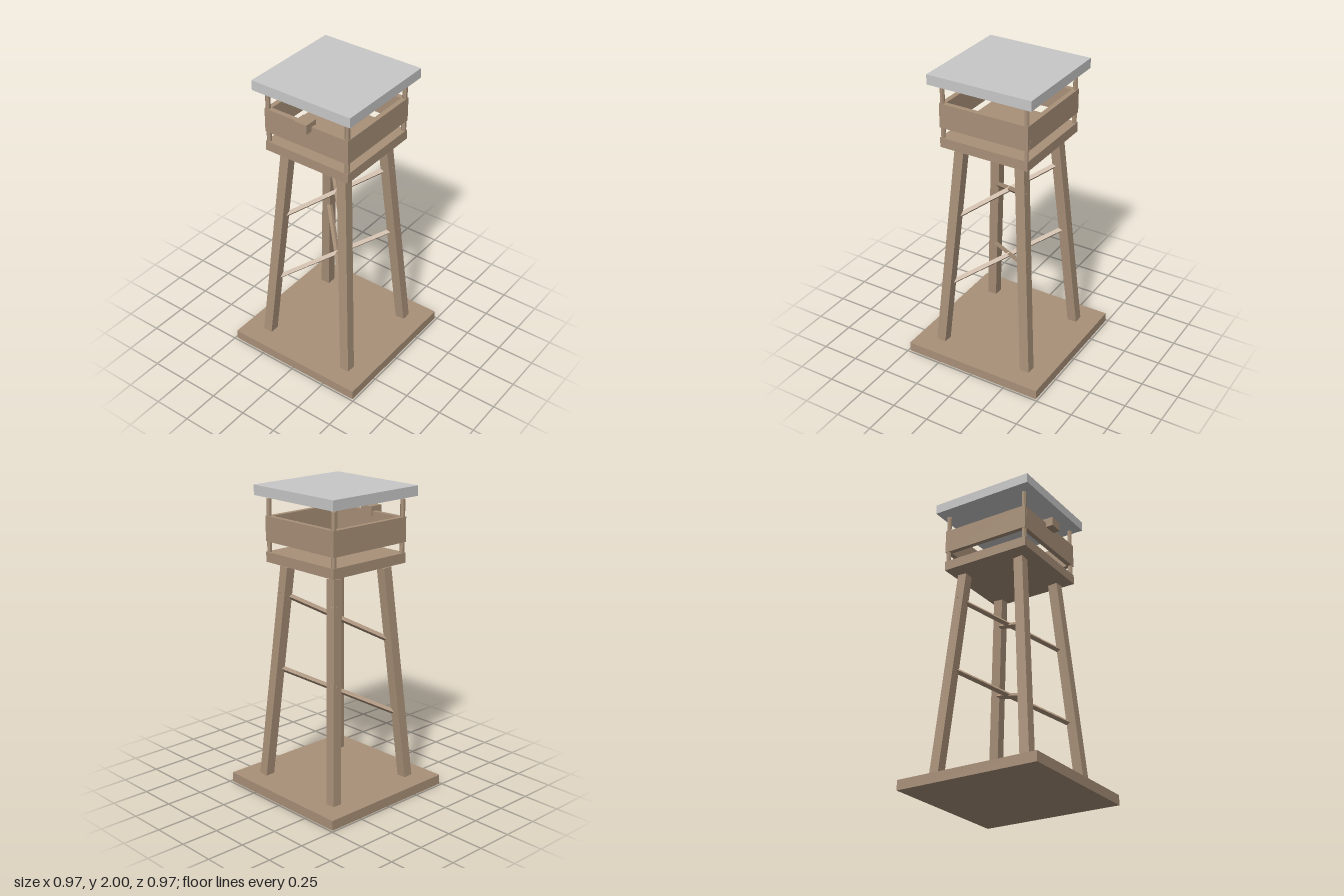
import * as THREE from 'three';

export function createModel() {
  const model = new THREE.Group();
  model.name = 'watchtower';
  const wood = new THREE.MeshStandardMaterial({ color: 0xa89078 });
  wood.name = 'wood';
  const roofGrey = new THREE.MeshStandardMaterial({ color: 0xc8c8c8 });
  roofGrey.name = 'roof grey';

  const add = (name, geometry, material, x, y, z) => {
    const mesh = new THREE.Mesh(geometry, material);
    mesh.name = name;
    mesh.position.set(x, y, z);
    model.add(mesh);
    return mesh;
  };
  const box = (name, w, h, d, x, y, z, material = wood) =>
    add(name, new THREE.BoxGeometry(w, h, d), material, x, y, z);

  // Square beam running from a to b
  const up = new THREE.Vector3(0, 1, 0);
  const beam = (name, size, a, b) => {
    const mid = a.clone().add(b).multiplyScalar(0.5);
    const mesh = box(name, size, a.distanceTo(b), size, mid.x, mid.y, mid.z);
    mesh.quaternion.setFromUnitVectors(up, b.clone().sub(a).normalize());
  };

  // Base slab, platform floor and flat roof
  box('base', 0.973, 0.065, 0.973, 0, 0.0325, 0);
  box('platformFloor', 0.616, 0.065, 0.616, 0, 1.545, 0);
  box('roof', 0.714, 0.065, 0.714, 0, 1.9675, 0, roofGrey);

  // Leaning legs and six-sided roof posts at the four corners
  const post = new THREE.CylinderGeometry(0.0162, 0.0162, 0.37, 6).toNonIndexed();
  post.computeVertexNormals();
  for (const sx of [-1, 1]) {
    for (const sz of [-1, 1]) {
      beam('leg', 0.065,
        new THREE.Vector3(sx * 0.3235, 0.063, sz * 0.3235),
        new THREE.Vector3(sx * 0.214, 1.483, sz * 0.214));
      add('roofPost', post, wood, sx * 0.292, 1.73, sz * 0.292);
    }
  }

  // Crossed braces through the middle, rising from front legs to opposite back legs
  for (const [low, high, e] of [[0.502, 0.83, 0.287], [1.0, 1.318, 0.25]]) {
    for (const s of [-1, 1]) {
      beam('brace', 0.026,
        new THREE.Vector3(s * e, low, e),
        new THREE.Vector3(-s * e, high, -e));
    }
  }

  // Parapet walls around the platform
  for (const s of [-1, 1]) {
    box('sideWall', 0.0325, 0.16, 0.616, s * 0.292, 1.725, 0);
    box(s > 0 ? 'frontWall' : 'backWall', 0.5515, 0.16, 0.0325, 0, 1.725, s * 0.292);
  }

  // Small box mounted on the front wall
  box('frontBox', 0.092, 0.062, 0.092, 0, 1.806, 0.311);

  return model;
}
